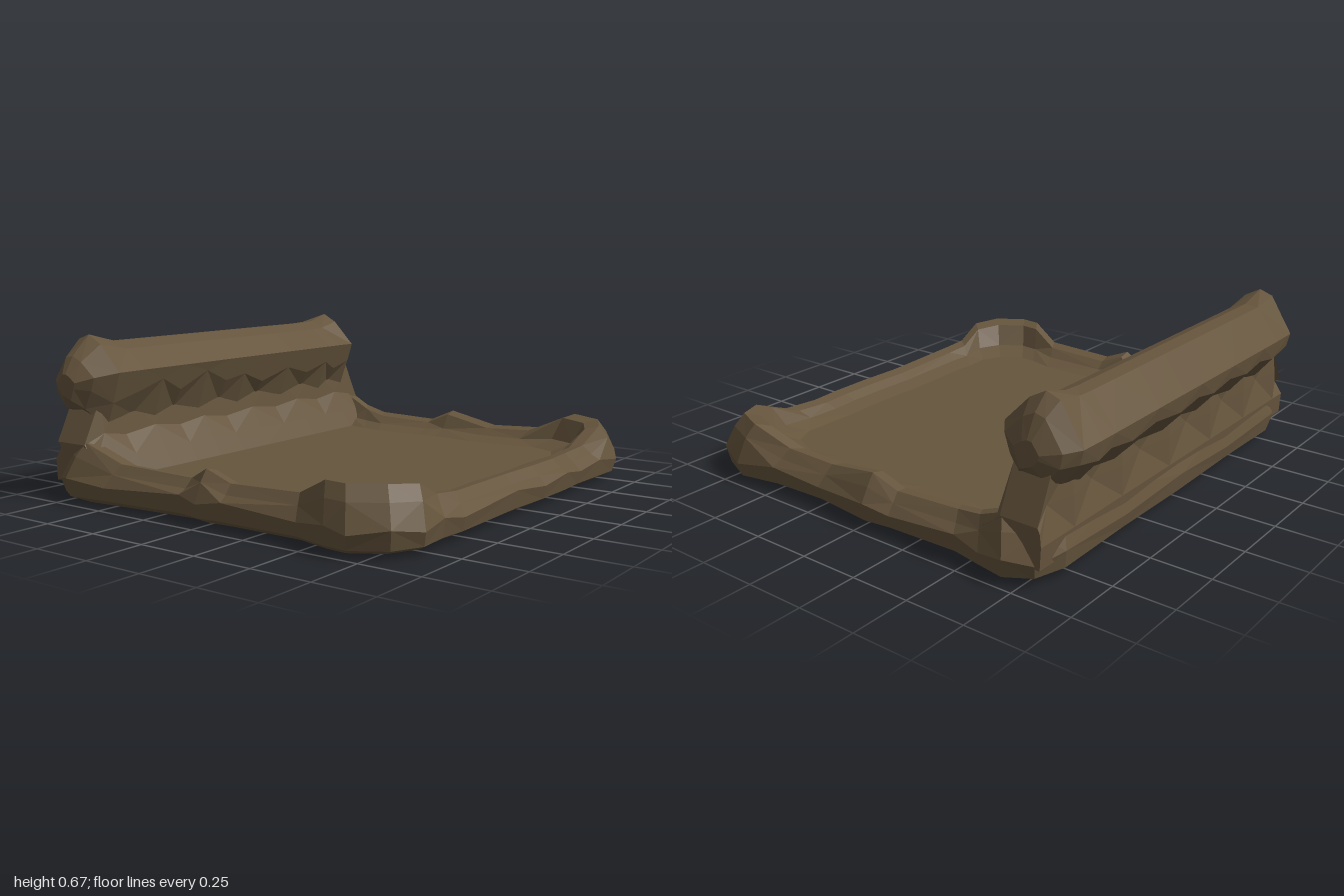
import * as THREE from 'three';

// Skins a stack of equal-length rings of [x, y, z], closing both ends with fans.
function loft(rings) {
  const tris = [];
  const n = rings[0].length;
  for (let r = 0; r < rings.length - 1; r++) {
    for (let i = 0; i < n; i++) {
      const j = (i + 1) % n;
      const a = rings[r][i], b = rings[r][j], c = rings[r + 1][j], d = rings[r + 1][i];
      if ((i + r) % 2) tris.push([a, b, c], [a, c, d]);
      else tris.push([a, b, d], [b, c, d]);
    }
  }
  const cap = (ring, flip) => {
    const mid = [0, 1, 2].map(k => ring.reduce((s, p) => s + p[k], 0) / n);
    ring.forEach((p, i) => {
      const q = ring[(i + 1) % n];
      tris.push(flip ? [q, p, mid] : [p, q, mid]);
    });
  };
  cap(rings[0], true);
  cap(rings[rings.length - 1], false);
  // Turn every face outward
  let volume = 0;
  const v = p => new THREE.Vector3(...p);
  for (const [a, b, c] of tris) volume += v(a).dot(v(b).cross(v(c)));
  if (volume < 0) tris.forEach(t => t.reverse());
  const g = new THREE.BufferGeometry();
  g.setAttribute('position', new THREE.Float32BufferAttribute(tris.flat(2), 3));
  g.computeVertexNormals();
  return g;
}

// Outline of the tray: x, z and rim height
const OUTLINE = [
  [-0.8, 0.89, 0.24], [-0.66, 0.88, 0.18], [-0.54, 0.89, 0.17], [-0.12, 0.88, 0.165], [0.1, 0.89, 0.165],
  [0.3, 0.89, 0.165], [0.45, 0.88, 0.165], [0.63, 0.885, 0.175], [0.8, 0.89, 0.24],
  [0.92, 0.83, 0.25], [0.985, 0.68, 0.255], [0.95, 0.5, 0.18], [0.94, 0.25, 0.17],
  [0.97, -0.02, 0.215], [0.955, -0.14, 0.165], [0.945, -0.45, 0.175], [0.97, -0.58, 0.2],
  [0.99, -0.7, 0.25], [0.93, -0.8, 0.25], [0.8, -0.84, 0.25], [0.4, -0.835, 0.24],
  [0, -0.84, 0.24], [-0.4, -0.835, 0.24], [-0.8, -0.84, 0.25], [-0.93, -0.8, 0.25],
  [-0.99, -0.7, 0.25], [-0.97, -0.5, 0.18], [-0.94, -0.12, 0.165], [-0.96, -0.02, 0.215],
  [-0.95, 0.1, 0.17], [-0.95, 0.45, 0.18], [-0.99, 0.6, 0.25], [-1, 0.7, 0.25], [-0.92, 0.83, 0.25],
];

function trayGeometry() {
  // Each layer: inset toward the middle, height rule
  const layers = [
    [0.08, () => 0.005],
    [0.015, () => 0.035],
    [0, (h, i) => 0.09 + (i % 2) * 0.02],
    [0.035, h => h * 0.78],
    [0.07, h => h],
    [0.125, h => h * 0.94],
    [0.17, h => 0.105 + h * 0.15],
    [0.25, () => 0.11],
  ];
  return loft(layers.map(([inset, height]) =>
    OUTLINE.map(([x, z, h], i) => [x * (1 - inset), height(h, i), z * (1 - inset)])));
}

function wallGeometry() {
  const xs = [-0.93, -0.84, -0.72, -0.55, -0.4, -0.25, -0.1, 0.08, 0.25, 0.42, 0.58, 0.73, 0.85, 0.93];
  return loft(xs.map((x, i) => {
    const end = i === 0 || i === xs.length - 1;
    const k = i % 2;
    const top = end ? 0.24 : 0.42;
    const profile = [
      [-0.53, 0.11], [-0.575, 0.185], [-0.63, end ? 0.22 : 0.26 + k * 0.02], [-0.65, top],
      [-0.81, top], [-0.79 - k * 0.03, end ? 0.22 : 0.29], [-0.825, 0.17], [-0.82, 0.08],
    ];
    return profile.map(([z, y]) => [x, y, z]);
  }));
}

function bolsterGeometry() {
  // Each station: x, section scale, top lift, height of the ragged front edge
  const stations = [
    [-0.945, 0.3, 0, 0.45], [-0.9, 0.68, 0.01, 0.45], [-0.81, 0.98, 0.04, 0.4],
    [-0.67, 1, 0, 0.44], [-0.55, 1, 0, 0.48], [-0.43, 1, 0, 0.42], [-0.28, 1, 0, 0.49],
    [-0.14, 1, 0, 0.43], [-0.02, 1, 0, 0.45], [0.12, 1, 0, 0.4], [0.3, 1, 0, 0.45],
    [0.46, 1, 0, 0.41], [0.6, 1, 0, 0.45], [0.68, 1, 0.005, 0.41],
    [0.79, 0.98, 0.04, 0.44], [0.85, 0.72, 0.03, 0.43], [0.89, 0.32, 0, 0.44],
  ];
  const cz = -0.73, cy = 0.475;
  return loft(stations.map(([x, s, lift, edge], i) => {
    const k = i % 2;
    const profile = [
      [-0.56, 0.53], [-0.575 - (0.49 - edge) * 0.3, edge], [-0.645, 0.29 + k * 0.05],
      [-0.81, 0.35 - k * 0.02], [-0.885, 0.44 - k * 0.02], [-0.9, 0.5],
      [-0.8, 0.635 + lift * 0.6], [-0.74, 0.64 + lift], [-0.67, 0.61 + lift * 0.8],
    ];
    return profile.map(([z, y]) => [x, cy + (y - cy) * s, cz + (z - cz) * s]);
  }));
}

export function createModel() {
  const group = new THREE.Group();
  group.name = 'roughTrayWithBolster';
  const brown = new THREE.MeshStandardMaterial({ color: 0x66553d });
  brown.name = 'earthBrown';
  const add = (name, geometry) => {
    const mesh = new THREE.Mesh(geometry, brown);
    mesh.name = name;
    group.add(mesh);
  };
  add('tray', trayGeometry());
  add('backWall', wallGeometry());
  add('bolster', bolsterGeometry());
  return group;
}
